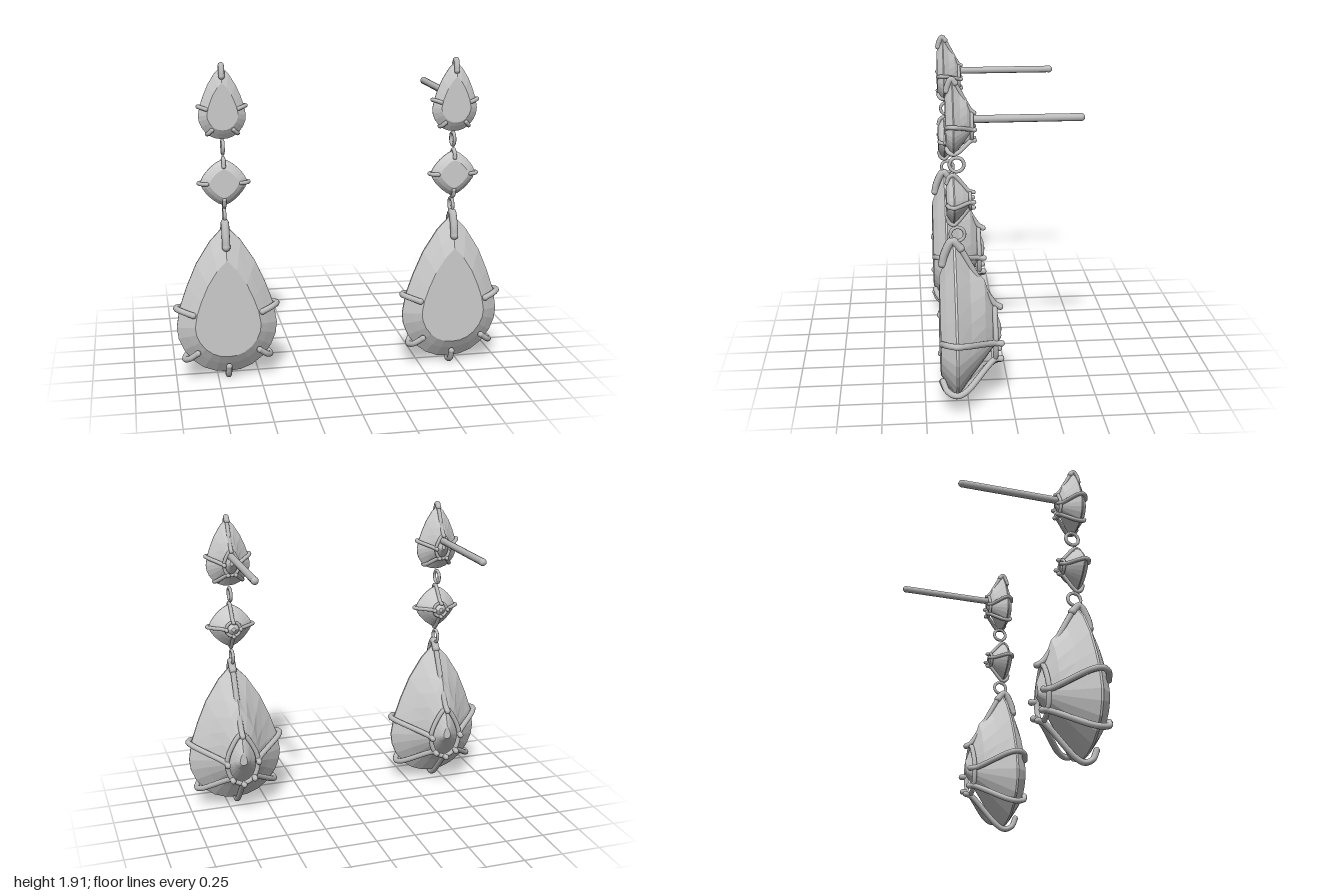
import * as THREE from 'three';

const V = (p) => new THREE.Vector3(...p);

export function createModel() {
  const gemMat = new THREE.MeshStandardMaterial({ color: 0xcccccc, flatShading: true });
  gemMat.name = 'gemstone';
  const metal = new THREE.MeshStandardMaterial({ color: 0xbcbcbc });
  metal.name = 'metal';

  // Faceted stone: outline rings, counter-clockwise, from table to culet.
  // Each level is [z, scale of the tip, scale of the body].
  function gem(name, outline, levels) {
    const top = Math.max(...outline.map((p) => p[1]));
    const rings = levels.map(([z, tip, body]) => outline.map(([x, y]) => {
      const s = THREE.MathUtils.lerp(body, tip, Math.max(0, y / top));
      return [x * s, y * s, z];
    }));
    const pos = [], n = outline.length, last = rings.length - 1;
    const tri = (...pts) => pts.forEach((p) => pos.push(...p));
    for (let i = 0; i < n; i++) {
      const j = (i + 1) % n;
      tri([0, 0, levels[0][0]], rings[0][i], rings[0][j]);
      tri([0, 0, levels[last][0]], rings[last][j], rings[last][i]);
      for (let k = 0; k < last; k++) {
        const a = rings[k], b = rings[k + 1];
        tri(a[i], b[i], b[j]);
        tri(a[i], b[j], a[j]);
      }
    }
    const g = new THREE.BufferGeometry();
    g.setAttribute('position', new THREE.Float32BufferAttribute(pos, 3));
    g.computeVertexNormals();
    const m = new THREE.Mesh(g, gemMat);
    m.name = name;
    return m;
  }

  // Round wire along a curve, with rounded ends when open
  function wire(name, pts, r, closed = false) {
    const g = new THREE.Group();
    g.name = name;
    const curve = new THREE.CatmullRomCurve3(pts.map(V), closed, 'centripetal');
    g.add(new THREE.Mesh(new THREE.TubeGeometry(curve, 36, r, 10, closed), metal));
    if (!closed) {
      for (const p of [pts[0], pts[pts.length - 1]]) {
        const ball = new THREE.Mesh(new THREE.SphereGeometry(r * 1.05, 10, 8), metal);
        ball.position.set(...p);
        g.add(ball);
      }
    }
    return g;
  }

  const mirror = (pts) => pts.map(([x, y, z]) => [-x, y, z]);

  // Pear outline, right half from tip to bottom
  const half = [[0.09, 0.465], [0.175, 0.33], [0.235, 0.19], [0.28, 0.06], [0.3, -0.06], [0.292, -0.13],
    [0.262, -0.205], [0.21, -0.275], [0.145, -0.325], [0.075, -0.352]];
  const pear = [[0, 0.56], ...mirror(half).map(([x, y]) => [x, y]), [0, -0.36], ...[...half].reverse()];
  const pearLevels = [[0.088, 0.65, 0.65], [0.055, 0.81, 0.8], [0.006, 1, 1], [-0.006, 1, 1],
    [-0.085, 0.77, 0.7], [-0.17, 0.6, 0.4], [-0.225, 0.3, 0.2], [-0.265, 0.1, 0.08]];

  const sideProng = [[0.205, 0.035, 0.08], [0.265, 0.055, 0.055], [0.3, 0.06, 0.005], [0.28, 0.052, -0.045],
    [0.105, -0.015, -0.225], [0.1, -0.02, -0.26]];
  const lowProng = [[0.185, -0.205, 0.08], [0.235, -0.245, 0.055], [0.258, -0.262, 0.005], [0.24, -0.25, -0.045],
    [0.075, -0.13, -0.225], [0.07, -0.13, -0.26]];
  const bottomProng = [[0, -0.3, 0.08], [0, -0.355, 0.055], [0, -0.378, 0.005], [0, -0.355, -0.045],
    [0, -0.175, -0.225], [0, -0.165, -0.26]];
  const innerLow = lowProng.map(([x, y, z]) => [x * 0.75, y - 0.03, z]);

  // Pear stone in its claw setting
  function pearDrop(name, r, topR, low, bottom) {
    const g = new THREE.Group();
    g.name = name;
    g.add(gem('pearStone', pear, pearLevels));
    for (const [n, p] of [['sideProng', sideProng], ['lowerProng', low]]) {
      g.add(wire(n + 'Left', p, r), wire(n + 'Right', mirror(p), r));
    }
    if (bottom) g.add(wire('bottomProng', bottomProng, r));
    g.add(wire('tipProng', [[0, 0.44, 0.068], [0, 0.5, 0.055], [0, 0.575, 0.01], [0, 0.53, -0.035]], topR));
    g.add(wire('tipProngBack', [[0, 0.53, -0.035], [0, 0.19, -0.225], [0, 0.165, -0.26]], r));
    g.add(wire('seatRing', [[0, 0.17, -0.228], [-0.07, 0.08, -0.228], [-0.1, -0.02, -0.228], [-0.07, -0.13, -0.228],
      [0, -0.168, -0.228], [0.07, -0.13, -0.228], [0.1, -0.02, -0.228], [0.07, 0.08, -0.228]], r * 0.85, true));
    return g;
  }

  // Cushion stone standing on its corner, with four prongs
  function cushionDrop() {
    const g = new THREE.Group();
    g.name = 'cushionDrop';
    const outline = [];
    for (let i = 0; i < 24; i++) {
      const a = (i / 24) * Math.PI * 2, c = Math.cos(a), s = Math.sin(a);
      const r = 0.138 / Math.pow(Math.abs(c) ** 1.4 + Math.abs(s) ** 1.4, 1 / 1.4);
      outline.push([c * r, s * r]);
    }
    g.add(gem('cushionStone', outline, [[0.04, 0.62, 0.62], [0.025, 0.82, 0.82], [0.003, 1, 1], [-0.003, 1, 1],
      [-0.05, 0.62, 0.62], [-0.105, 0.1, 0.1]]));
    for (let i = 0; i < 4; i++) {
      const p = wire('prong', [[0.1, 0, 0.036], [0.132, 0, 0.025], [0.145, 0, 0], [0.125, 0, -0.025],
        [0.05, 0, -0.09], [0.045, 0, -0.112]], 0.012);
      p.rotation.z = (i * Math.PI) / 2;
      g.add(p);
    }
    const seat = new THREE.Mesh(new THREE.TorusGeometry(0.045, 0.01, 8, 20), metal);
    seat.name = 'seatRing';
    seat.position.z = -0.092;
    g.add(seat);
    return g;
  }

  function earring() {
    const g = new THREE.Group();
    const big = pearDrop('largePearDrop', 0.018, 0.024, lowProng, true);
    big.position.set(0, 0.4, 0.32);
    const small = pearDrop('smallPearDrop', 0.027, 0.038, innerLow, false);
    small.scale.setScalar(0.455);
    small.position.set(0, 1.635, 0.32);
    const cushion = cushionDrop();
    cushion.position.set(0, 1.215, 0.32);
    g.add(big, small, cushion);
    // Connecting rings
    for (const y of [1.42, 1.015]) {
      const ring = new THREE.Mesh(new THREE.TorusGeometry(0.04, 0.01, 10, 28), metal);
      ring.name = 'linkRing';
      ring.rotation.y = Math.PI / 2;
      ring.position.set(0, y, 0.3);
      g.add(ring);
    }
    // Ear post
    g.add(wire('earPost', [[0, 1.675, 0.21], [0, 1.675, -0.1], [0, 1.675, -0.385]], 0.022));
    return g;
  }

  const model = new THREE.Group();
  model.name = 'dropEarrings';
  for (const [name, x] of [['leftEarring', 0.69], ['rightEarring', -0.69]]) {
    const e = earring();
    e.name = name;
    e.position.x = x;
    model.add(e);
  }
  return model;
}
